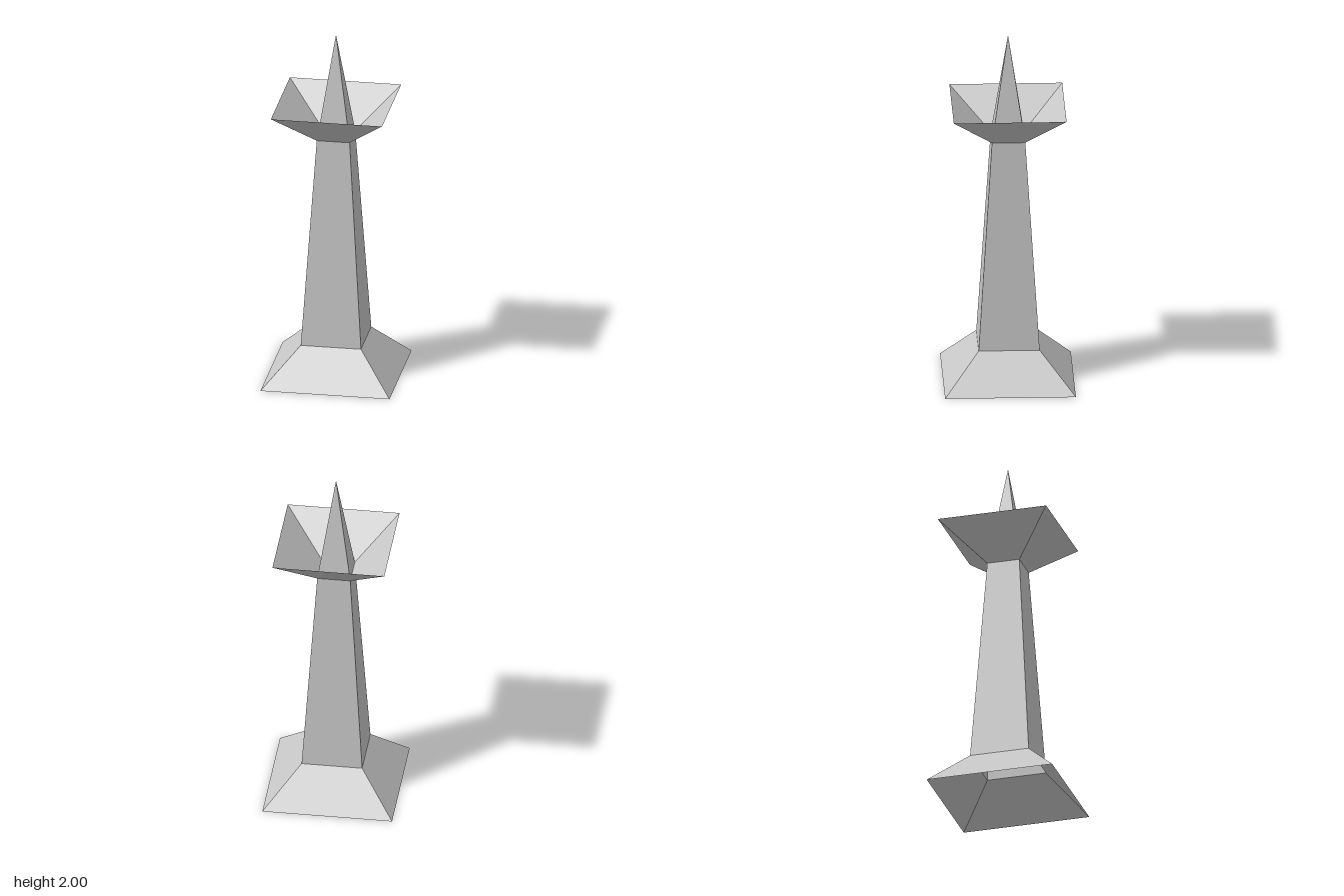
import * as THREE from 'three';

export function createModel() {
  const model = new THREE.Group();
  model.name = 'tower';

  const stone = new THREE.MeshStandardMaterial({ color: 0xc8c8c8 });
  stone.name = 'pale grey stone';
  stone.flatShading = true;
  stone.side = THREE.DoubleSide; // the sections are thin open shells

  // Four-sided open section between two heights, corners on the x and z axes
  function section(name, bottomRadius, topRadius, y0, y1) {
    const geometry = new THREE.CylinderGeometry(topRadius, bottomRadius, y1 - y0, 4, 1, true);
    const mesh = new THREE.Mesh(geometry, stone);
    mesh.name = name;
    mesh.position.y = (y0 + y1) / 2;
    model.add(mesh);
  }

  section('flaredBase', 0.51, 0.238, 0, 0.207);
  section('column', 0.238, 0.13, 0.207, 1.4);
  section('bowl', 0.13, 0.44, 1.4, 1.6);
  section('spire', 0.13, 0, 1.4, 2);

  return model;
}
